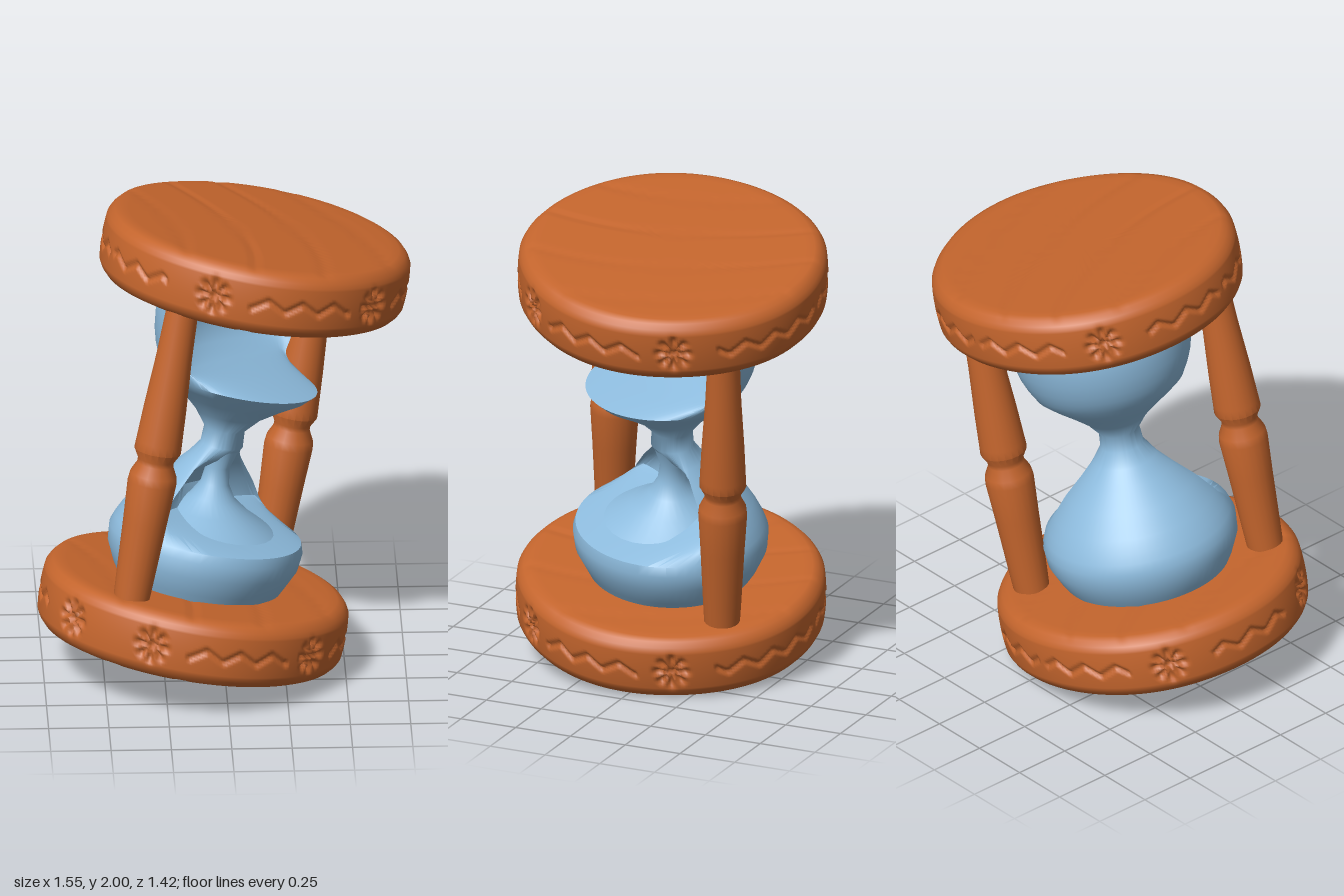
import * as THREE from 'three';
import { mergeVertices, toCreasedNormals } from 'three/addons/utils/BufferGeometryUtils.js';

const RAD = Math.PI / 180;
const wood = new THREE.MeshStandardMaterial({ color: 0xc4652d });
wood.name = 'wood';
const glass = new THREE.MeshStandardMaterial({ color: 0x8dbbdd });
glass.name = 'blueGlass';

const v2 = (pts) => pts.map(([x, y]) => new THREE.Vector2(x, y));

function addMesh(parent, name, geometry, material) {
  const mesh = new THREE.Mesh(geometry, material);
  mesh.name = name;
  parent.add(mesh);
  return mesh;
}

// signed angle difference in degrees
const angleGap = (a, b) => ((a - b + 540) % 360 + 360) % 360 - 180;

// Depth of the carved stars and zigzags at an azimuth (degrees) and height on the rim
function carving(az, y, stars, waves) {
  let depth = 0;
  for (const s of stars) {
    const u = angleGap(az, s) * RAD * 0.64;
    const rho = Math.hypot(u, y);
    if (rho < 0.085) {
      const petal = Math.abs(Math.cos(4 * Math.atan2(y, u)));
      depth = Math.max(depth, 0.026 * petal ** 2 * Math.min(1, (0.085 - rho) / 0.03));
    }
  }
  for (const [c, half] of waves) {
    const gap = angleGap(az, c);
    if (Math.abs(gap) > half) continue;
    const t = gap / 13;
    const zig = (Math.abs(t - Math.floor(t) - 0.5) * 4 - 1) * 0.022;
    depth = Math.max(depth, 0.016 * Math.max(0, 1 - Math.abs(y - zig) / 0.018));
  }
  return depth;
}

// Rounded wooden plate with a carved rim and grain lines on its faces
function plateGeometry(stars, waves) {
  const half = 0.138;
  const profile = [];
  for (let i = 0; i <= 16; i++) profile.push([0.585 * i / 16, -half]);
  profile.push([0.61, -0.128], [0.628, -0.108]);
  for (let i = 0; i <= 18; i++) {
    const y = -0.09 + 0.18 * i / 18;
    profile.push([0.643 - 0.7 * y * y, y]);
  }
  profile.push([0.628, 0.108], [0.61, 0.128]);
  for (let i = 16; i >= 0; i--) profile.push([0.585 * i / 16, half]);

  let geo = new THREE.LatheGeometry(v2(profile), 400);
  geo.deleteAttribute('uv');
  geo.deleteAttribute('normal');
  geo = mergeVertices(geo, 1e-5);
  const p = geo.attributes.position;
  for (let i = 0; i < p.count; i++) {
    let x = p.getX(i), y = p.getY(i), z = p.getZ(i);
    const r = Math.hypot(x, z);
    const a = Math.atan2(z, x);
    if (r > 0.6) {
      const k = 1 - carving(a / RAD, y, stars, waves) / r + 0.005 * Math.sin(5 * a + 1);
      x *= k;
      z *= k;
    }
    if (Math.abs(y) > half - 0.001) {
      const curve = x - 0.35 * z + 0.4 * z * z;
      const cell = Math.abs(((curve + 2) % 0.29) - 0.145);
      y -= Math.sign(y) * 0.005 * Math.max(0, 1 - cell / 0.035);
    }
    p.setXYZ(i, x, y, z);
  }
  geo.computeVertexNormals();
  return geo;
}

// Double bulb; rows are [height, back, front and side radius, hollowing].
// Hollowing folds the front inwards, so the sand shows below an open shell.
function bulbGeometry() {
  const rows = [
    [-0.66, 0.32, 0.33, 0.33, 0], [-0.6, 0.36, 0.36, 0.365, 0], [-0.52, 0.395, 0.4, 0.4, 0],
    [-0.45, 0.4, 0.41, 0.405, 0], [-0.41, 0.385, 0.4, 0.39, 0], [-0.37, 0.365, 0.36, 0.37, 0.3],
    [-0.32, 0.335, 0.33, 0.335, 0.65], [-0.24, 0.265, 0.26, 0.27, 0.75],
    [-0.16, 0.185, 0.18, 0.19, 0.7], [-0.1, 0.13, 0.13, 0.135, 0.4],
    [-0.04, 0.088, 0.088, 0.09, 0], [0.03, 0.085, 0.085, 0.085, 0],
    [0.1, 0.135, 0.15, 0.135, 0], [0.17, 0.205, 0.25, 0.21, 0], [0.22, 0.255, 0.33, 0.27, 0],
    [0.26, 0.285, 0.37, 0.315, 0], [0.29, 0.305, 0.355, 0.33, 0.3],
    [0.32, 0.32, 0.33, 0.345, 0.6], [0.36, 0.335, 0.33, 0.36, 0.76],
    [0.42, 0.35, 0.35, 0.375, 0.83], [0.52, 0.36, 0.36, 0.385, 0.86],
    [0.65, 0.335, 0.34, 0.38, 0.86],
  ];
  const n = 64;
  const position = [];
  const index = [];
  rows.forEach(([y, back, front, side, hollow], i) => {
    for (let j = 0; j < n; j++) {
      const a = j / n * Math.PI * 2;
      const c = Math.cos(a);
      const u = c > 0 ? front * c * (1 - 1.85 * hollow) : back * c;
      const v = side * Math.sin(a);
      position.push(0.77 * u - 0.64 * v, y, 0.64 * u + 0.77 * v);
      if (i === rows.length - 1) continue;
      const k = i * n + j, m = i * n + (j + 1) % n;
      index.push(k, k + n, m, m, k + n, m + n);
    }
  });
  const geo = new THREE.BufferGeometry();
  geo.setAttribute('position', new THREE.Float32BufferAttribute(position, 3));
  geo.setIndex(index);
  return toCreasedNormals(geo, 50 * RAD);
}

export function createModel() {
  const model = new THREE.Group();
  model.name = 'hourglass';

  // the whole hourglass leans along this axis
  const body = new THREE.Group();
  body.name = 'tiltedBody';
  body.position.y = 1;
  body.quaternion.setFromUnitVectors(
    new THREE.Vector3(0, 1, 0), new THREE.Vector3(0.26, 1.5, -0.13).normalize());
  model.add(body);

  // end plates
  const stars = [-25, 41, 108, 215];
  const waves = [[8, 20], [74, 20], [180, 18], [248, 18], [294, 24]];
  addMesh(body, 'topPlate', plateGeometry(stars, [...waves, [143, 16]]), wood).position.y = 0.767;
  addMesh(body, 'bottomPlate', plateGeometry([...stars, 144], waves), wood).position.y = -0.767;

  // two turned posts on opposite sides
  const post = toCreasedNormals(new THREE.LatheGeometry(v2([
    [0.074, -0.66], [0.08, -0.55], [0.092, -0.3], [0.102, -0.13], [0.098, -0.095],
    [0.076, -0.05], [0.076, -0.03], [0.098, 0.01], [0.096, 0.05],
    [0.089, 0.2], [0.075, 0.42], [0.066, 0.66],
  ]), 20), 35 * RAD);
  addMesh(body, 'frontPost', post, wood).position.set(-0.295, 0, 0.4);
  addMesh(body, 'backPost', post, wood).position.set(0.31, 0.01, -0.375);

  // glass with its sand, and the falling stream on its mound
  addMesh(body, 'glassBulbs', bulbGeometry(), glass);
  addMesh(body, 'sandStream', new THREE.LatheGeometry(v2([
    [0.35, -0.43], [0.26, -0.375], [0.17, -0.325], [0.095, -0.27],
    [0.06, -0.21], [0.05, -0.14], [0.075, -0.06],
  ]), 32), glass);

  return model;
}
